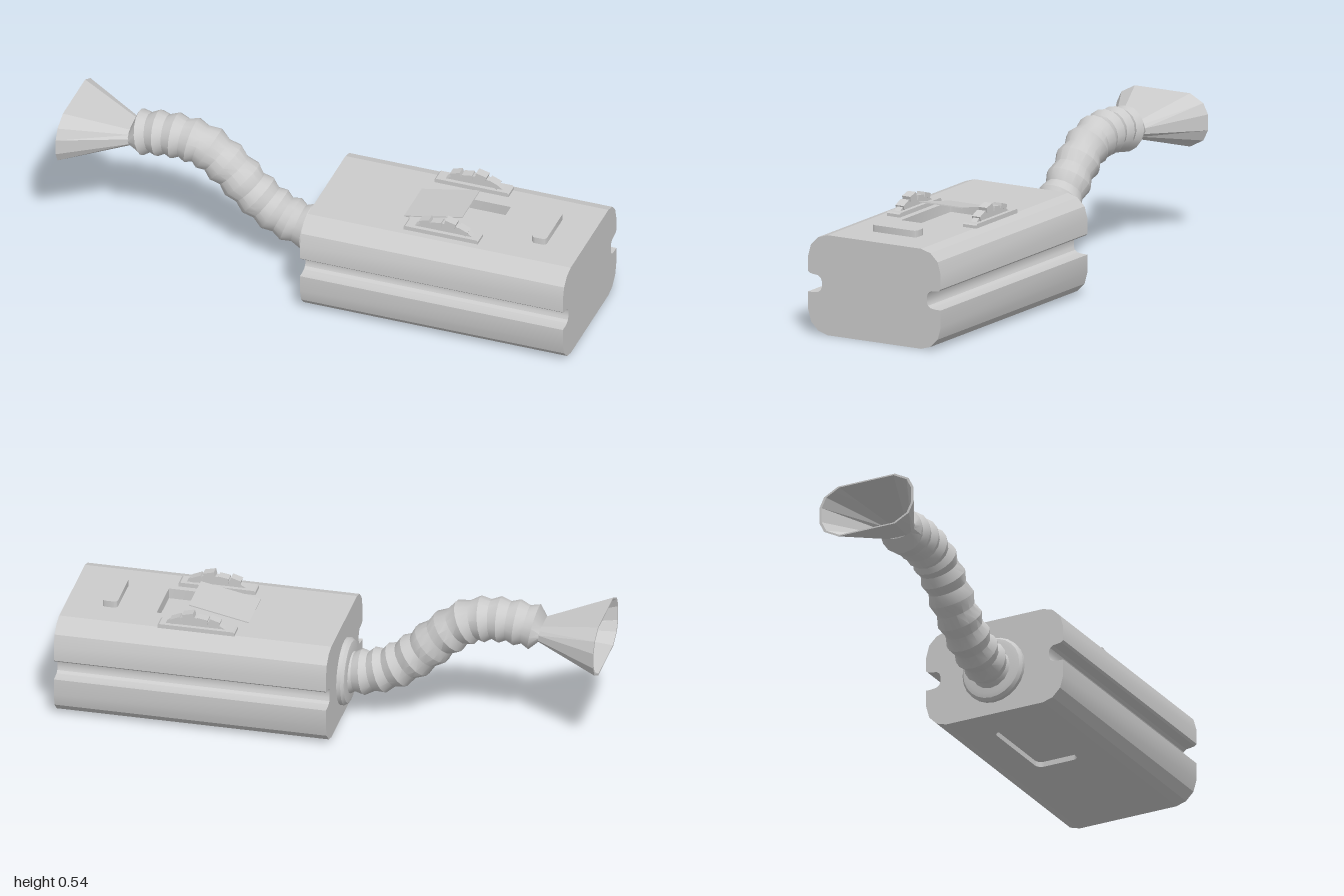
import * as THREE from 'three';
import { toCreasedNormals } from 'three/addons/utils/BufferGeometryUtils.js';

const TOP = 0.375, BACK = -0.02, LENGTH = 1.02;
const grey = new THREE.MeshStandardMaterial({ color: 0xcccccc });
const greyOpen = new THREE.MeshStandardMaterial({ color: 0xcccccc, side: THREE.DoubleSide });

function add(parent, name, geometry, material = grey) {
  const mesh = new THREE.Mesh(geometry, material);
  mesh.name = name;
  parent.add(mesh);
  return mesh;
}

const toShape = (points) => new THREE.Shape(points.map(([x, y]) => new THREE.Vector2(x, y)));

function roundedRect(x0, x1, halfWidth, r) {
  const s = new THREE.Shape();
  s.absarc(x1 - r, halfWidth - r, r, 0, Math.PI / 2);
  s.absarc(x0 + r, halfWidth - r, r, Math.PI / 2, Math.PI);
  s.absarc(x0 + r, r - halfWidth, r, Math.PI, 1.5 * Math.PI);
  s.absarc(x1 - r, r - halfWidth, r, 1.5 * Math.PI, 2 * Math.PI);
  return s;
}

const extrude = (shape, depth) =>
  new THREE.ExtrudeGeometry(shape, { depth, bevelEnabled: false, curveSegments: 5 });

// Removes the triangles whose three corners all pass the test
function dropFaces(geometry, test) {
  const p = geometry.attributes.position;
  const kept = [];
  for (let i = 0; i < p.count; i += 3) {
    const tri = [0, 1, 2].map((k) => new THREE.Vector3().fromBufferAttribute(p, i + k));
    if (!tri.every(test)) tri.forEach((v) => kept.push(v));
  }
  return new THREE.BufferGeometry().setFromPoints(kept);
}

// Skins closed rings of equal length, ordered along +x and turning from y to z
function loft(rings, crease) {
  const n = rings[0].length;
  const out = [];
  for (let i = 0; i + 1 < rings.length; i++) {
    for (let j = 0; j < n; j++) {
      const k = (j + 1) % n;
      const [a, b, c, d] = [rings[i][j], rings[i][k], rings[i + 1][k], rings[i + 1][j]];
      out.push(a, b, d, b, c, d);
    }
  }
  return toCreasedNormals(new THREE.BufferGeometry().setFromPoints(out), crease);
}

// Flat panel with a shallow pocket sunk into it; local +z faces outwards
function pocketPanel(name, hole, depth) {
  const group = new THREE.Group();
  group.name = name;
  const panel = toShape([[BACK, -0.2], [BACK + LENGTH, -0.2], [BACK + LENGTH, 0.2], [BACK, 0.2]]);
  panel.holes.push(hole);
  add(group, name + 'Surface', new THREE.ShapeGeometry(panel, 5));
  const well = dropFaces(extrude(hole, depth).translate(0, 0, -depth), (v) => v.z > -1e-5);
  add(group, name + 'Pocket', toCreasedNormals(well, 0.5), greyOpen);
  return group;
}

function buildBody(model) {
  // Chamfered outline with a rounded groove along each side
  const half = [
    [0.2, 0], [0.24, 0.012], [0.271, 0.043], [0.284, 0.09], [0.284, 0.154],
    [0.262, 0.154], [0.241, 0.157], [0.23, 0.165], [0.225, 0.177],
    [0.225, 0.2], [0.23, 0.212], [0.241, 0.22], [0.262, 0.222], [0.276, 0.225],
    [0.284, 0.232], [0.284, 0.286], [0.271, 0.333], [0.24, 0.363], [0.2, TOP],
  ];
  const outline = [...half, ...half.map(([z, y]) => [-z, y]).reverse()];
  let shell = extrude(toShape(outline), LENGTH);
  shell.rotateY(Math.PI / 2).translate(BACK, 0, 0);
  shell = dropFaces(shell, (v) => v.y > TOP - 1e-4);
  shell = dropFaces(shell, (v) => v.y < 1e-4);
  add(model, 'bodyShell', toCreasedNormals(shell, 0.45));

  const top = pocketPanel('topPanel', roundedRect(0.315, 0.66, 0.095, 0.002), 0.04);
  top.rotation.x = -Math.PI / 2;
  top.position.y = TOP;
  const bottom = pocketPanel('bottomPanel', roundedRect(0.13, 0.47, 0.085, 0.025), 0.02);
  bottom.rotation.x = Math.PI / 2;
  model.add(top, bottom);

  // Raised flap hinged at the rear edge of the opening
  const flapLength = Math.hypot(0.225, 0.045);
  const flap = new THREE.BoxGeometry(flapLength, 0.004, 0.186).translate(flapLength / 2, 0, 0);
  const hinge = add(model, 'flap', flap);
  hinge.position.set(0.315, TOP, 0);
  hinge.rotation.z = Math.atan2(0.045, 0.225);

  const button = extrude(roundedRect(0.808, 0.865, 0.095, 0.014), 0.025);
  button.rotateX(-Math.PI / 2).translate(0, TOP, 0);
  add(model, 'button', toCreasedNormals(button, 0.5));
}

// Clip on a base plate: a low arch topped with tilted blocks
function buildClip(model, name, z) {
  const clip = new THREE.Group();
  clip.name = name;
  clip.position.z = z;
  model.add(clip);
  const base = toShape([[0.342, TOP], [0.63, TOP], [0.63, 0.386], [0.624, 0.391], [0.348, 0.391], [0.342, 0.386]]);
  add(clip, 'clipBase', extrude(base, 0.056).translate(0, 0, -0.028));
  const arch = toShape([[0.37, 0.385], [0.61, 0.385], [0.585, 0.403], [0.54, 0.421],
    [0.49, 0.424], [0.44, 0.415], [0.4, 0.402]]);
  add(clip, 'clipArch', extrude(arch, 0.025).translate(0, 0, -0.0125));
  const blocks = [[0.42, 0.415, 0.04, 0.3], [0.465, 0.416, 0.04, 0.15], [0.518, 0.429, 0.042, -0.25],
    [0.565, 0.407, 0.04, -0.4]];
  for (const [x, y, length, tilt] of blocks) {
    const block = add(clip, 'clipBlock', new THREE.BoxGeometry(length, 0.019, 0.035));
    block.position.set(x, y, 0);
    block.rotation.z = tilt;
  }
}

function buildHose(model) {
  // Round collar on the rear end of the body
  const collar = [[0, 0.03], [0.1, 0.03], [0.116, 0.026], [0.125, 0.015], [0.125, 0]]
    .map(([r, h]) => new THREE.Vector2(r, h)).reverse();
  const collarGeometry = new THREE.LatheGeometry(collar, 24);
  collarGeometry.rotateZ(Math.PI / 2).translate(BACK, 0.17, 0);
  add(model, 'collar', toCreasedNormals(collarGeometry, 0.6), greyOpen);

  // Ribbed hose: the radius alternates between crest and valley
  const heights = [0.437, 0.453, 0.456, 0.437, 0.372, 0.285, 0.218, 0.182, 0.17];
  const x0 = -0.765, x1 = -0.03;
  const path = new THREE.CatmullRomCurve3(heights.map((y, i) =>
    new THREE.Vector3(x0 + ((x1 - x0) * i) / (heights.length - 1), y, 0)));
  const steps = 23, sides = 16;
  const rings = [];
  for (let i = 0; i <= steps; i++) {
    const t = i / steps;
    const centre = path.getPoint(t);
    const tangent = path.getTangent(t);
    const up = new THREE.Vector3(-tangent.y, tangent.x, 0);
    const r = i % 2 ? 0.086 : 0.073;
    const squash = i === 0 ? 0.5 : 1;
    rings.push(Array.from({ length: sides }, (_, j) => {
      const a = (j / sides) * Math.PI * 2;
      const p = centre.clone().addScaledVector(up, r * squash * Math.cos(a));
      p.z = r * Math.sin(a);
      return p;
    }));
  }
  add(model, 'hose', loft(rings, 0.6), greyOpen);
}

function buildNozzle(model) {
  // Flared mouth narrowing to a flat oval throat, with a thin wall
  const quarter = [[0.1, 0.118], [0.07, 0.175], [0.03, 0.195]];
  const right = [...quarter, ...quarter.map(([y, z]) => [-y, z]).reverse()];
  const mouth = [...right, ...right.map(([y, z]) => [y, -z]).reverse()];
  const ring = (x, points, s) => points.map(([y, z]) => new THREE.Vector3(x, 0.436 + y * s, z * s));
  const throat = mouth.map(([y, z]) => {
    const a = Math.atan2(z / 0.195, y / 0.1);
    return [0.036 * Math.cos(a), 0.071 * Math.sin(a)];
  });
  const rings = [ring(-0.76, throat, 0.9), ring(-1, mouth, 0.95), ring(-1, mouth, 1), ring(-0.76, throat, 1)];
  add(model, 'nozzle', loft(rings, 0.2), greyOpen);
}

export function createModel() {
  const model = new THREE.Group();
  model.name = 'hoseUnit';
  buildBody(model);
  buildClip(model, 'leftClip', 0.147);
  buildClip(model, 'rightClip', -0.18);
  buildHose(model);
  buildNozzle(model);
  return model;
}
